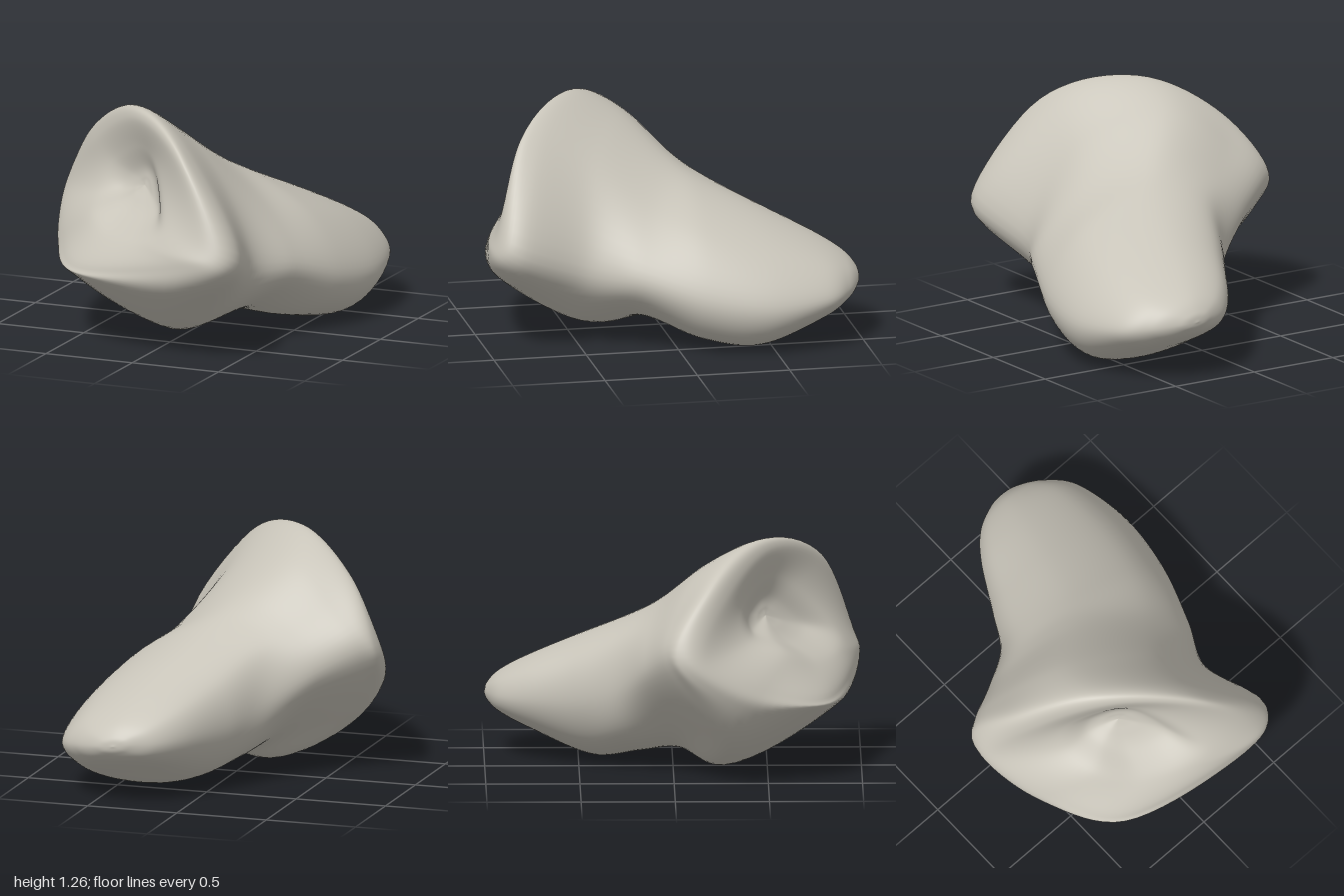
import * as THREE from 'three';
import { mergeVertices } from 'three/addons/utils/BufferGeometryUtils.js';

const v = (p) => new THREE.Vector3(...p);

// Eight-point section from its right, top, left and bottom points
function section(right, top, left, bottom) {
  const c = [right, top, left, bottom].map(v);
  const mid = new THREE.Vector3();
  c.forEach((p) => mid.addScaledVector(p, 0.25));
  const ring = [];
  c.forEach((p, i) => {
    const q = c[(i + 1) % 4];
    ring.push(p, p.clone().add(q).addScaledVector(mid, -2).multiplyScalar(0.72).add(mid));
  });
  return ring;
}

// Smooth skin through a row of closed sections
function loft(rings, around, along) {
  const loops = rings.map((r) => new THREE.CatmullRomCurve3(r, true, 'catmullrom', 0.5));
  const positions = [], index = [];
  for (let j = 0; j < around; j++) {
    const column = new THREE.CatmullRomCurve3(loops.map((l) => l.getPoint(j / around)), false, 'catmullrom', 0.5);
    for (let i = 0; i <= along; i++) positions.push(...column.getPoint(i / along).toArray());
  }
  const at = (i, j) => (j % around) * (along + 1) + i;
  for (let j = 0; j < around; j++) {
    for (let i = 0; i < along; i++) {
      const a = at(i, j), b = at(i, j + 1), c = at(i + 1, j + 1), d = at(i + 1, j);
      if (i > 0) index.push(a, b, d);
      if (i < along - 1) index.push(b, c, d);
    }
  }
  const g = new THREE.BufferGeometry();
  g.setAttribute('position', new THREE.Float32BufferAttribute(positions, 3));
  g.setIndex(index);
  const merged = mergeVertices(g, 1e-5);
  merged.computeVertexNormals();
  return merged;
}

export function createModel() {
  const boneGrey = new THREE.MeshStandardMaterial({ color: 0xc8c4b9 });

  // Shaft, from the rounded tip forward
  const tip = v([0.36, 0.33, -1]);
  const shaft = [
    Array(8).fill(tip),
    section([0.46, 0.32, -0.985], [0.36, 0.38, -0.985], [0.27, 0.34, -0.985], [0.36, 0.29, -0.985]),
    section([0.6, 0.3, -0.91], [0.35, 0.45, -0.92], [0.14, 0.34, -0.92], [0.35, 0.23, -0.92]),
    section([0.72, 0.28, -0.77], [0.3, 0.54, -0.77], [0.02, 0.34, -0.78], [0.34, 0.14, -0.75]),
    section([0.78, 0.26, -0.46], [0.22, 0.67, -0.5], [-0.13, 0.35, -0.52], [0.3, 0.005, -0.42]),
    section([0.73, 0.3, -0.12], [0.12, 0.81, -0.2], [-0.27, 0.44, -0.31], [0.17, 0.05, -0.16]),
  ];

  // Head: neck, flare, rim, rounded lip and the slopes of the hollow face.
  // Each ring runs right, upper right, top, upper left, left, lower left, bottom, lower right.
  const neck = [
    [0.6, 0.4, 0.22], [0.38, 0.73, 0.13], [0, 0.92, -0.04], [-0.34, 0.81, -0.13],
    [-0.5, 0.58, -0.15], [-0.28, 0.24, 0], [0.03, 0.095, 0.04], [0.38, 0.18, 0.2],
  ].map(v);
  const flare = [
    [0.48, 0.43, 0.5], [0.22, 0.95, 0.4], [-0.2, 1.13, 0.18], [-0.51, 0.94, 0.02],
    [-0.7, 0.68, -0.04], [-0.57, 0.27, 0.25], [-0.18, 0.04, 0.29], [0.16, 0.115, 0.51],
  ].map(v);
  const rim = [
    [0.55, 0.57, 0.86], [0.17, 1.12, 0.69], [-0.23, 1.25, 0.41], [-0.58, 1.05, 0.17],
    [-0.775, 0.7, 0.03], [-0.68, 0.43, 0.4], [-0.38, 0.36, 0.77], [0.2, 0.36, 0.91],
  ].map(v);
  const lip = [
    [0.42, 0.65, 0.965], [0.17, 1.08, 0.8], [-0.19, 1.21, 0.52], [-0.53, 1.01, 0.28],
    [-0.74, 0.71, 0.17], [-0.63, 0.53, 0.48], [-0.39, 0.44, 0.82], [0.25, 0.54, 0.985],
  ].map(v);
  const face = [
    [0.13, 0.72, 0.87], [-0.01, 0.98, 0.64], [-0.18, 1.05, 0.49], [-0.39, 0.92, 0.36],
    [-0.47, 0.76, 0.39], [-0.42, 0.67, 0.59], [-0.25, 0.6, 0.76], [0.01, 0.62, 0.88],
  ].map(v);

  // Dent at the middle of the face
  const dent = v([-0.15, 0.84, 0.49]);
  const normal = v([-0.53, 0.36, 0.77]);
  const hollow = [[0.5, -0.025], [0.8, -0.015], [1, 0]].map(([t, push]) =>
    face.map((p) => p.clone().lerp(dent, t).addScaledVector(normal, push)));

  const bone = new THREE.Mesh(loft([...shaft, neck, flare, rim, lip, face, ...hollow], 72, 120), boneGrey);
  bone.name = 'bone';
  const group = new THREE.Group();
  group.name = 'toeBone';
  group.add(bone);
  return group;
}
